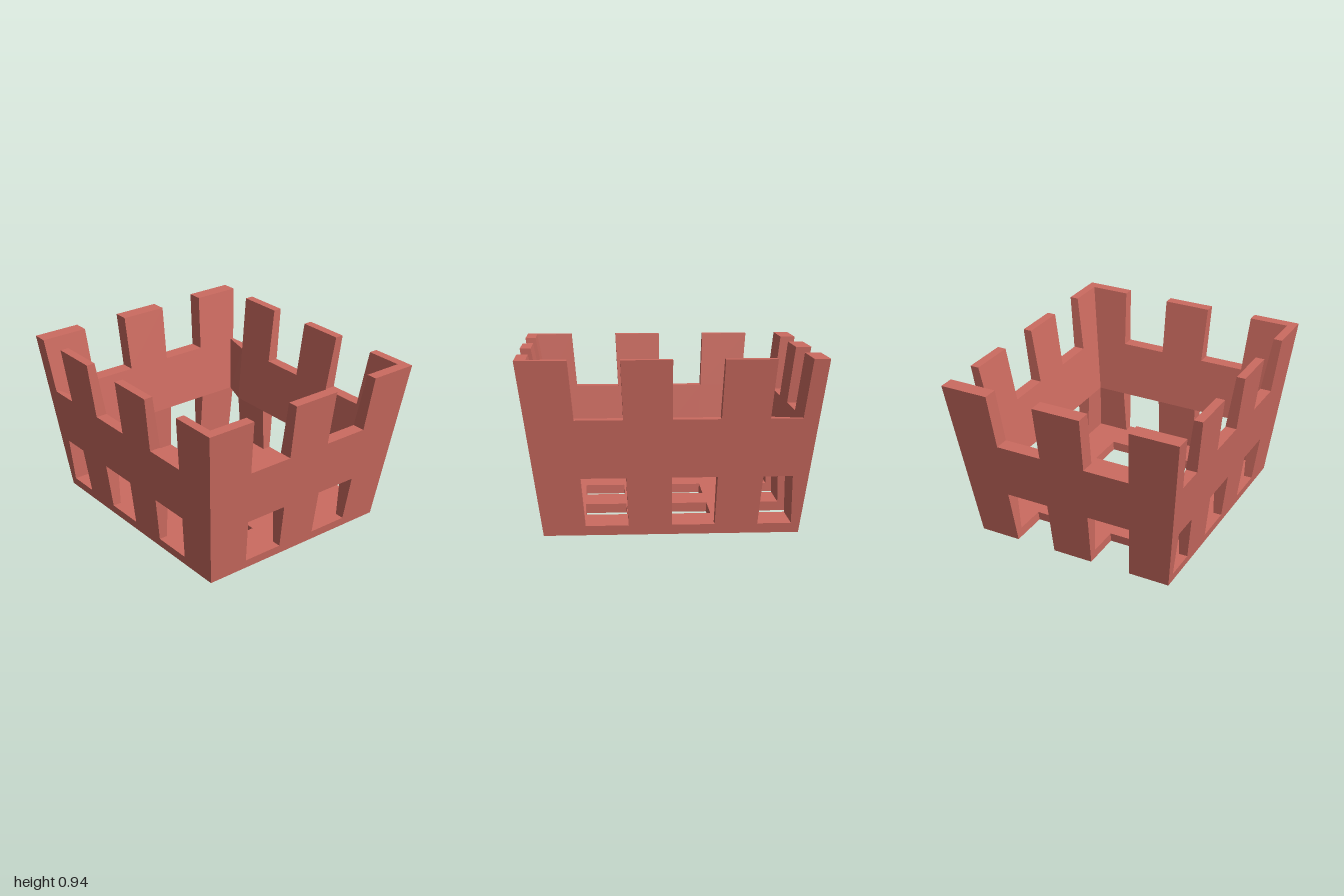
import * as THREE from 'three';

const ROWS = [0, 0.315, 0.63, 0.945];
const FLOOR_TOP = 0.052;
const lerp = THREE.MathUtils.lerp;

// Outer half width and half depth: the crate flares upwards
const halfW = y => lerp(0.678, 0.812, y / 0.945);
const halfD = y => lerp(0.583, 0.692, y / 0.945);
// Inner faces: upright along the bottom row, flaring above it
const flare = y => Math.max(0, (y - 0.315) / 0.63);
const innerRight = y => lerp(0.632, 0.752, flare(y));
const innerLeft = y => -lerp(0.638, 0.726, flare(y));
const innerD = y => lerp(0.54, 0.642, flare(y));

// Grid lines: six columns across the width, five across the depth
const colU = (i, y) => (-1 + i / 3) * halfW(y);
const colV = (k, y) => (-1 + k * 0.4) * halfD(y);

// A slab of grid cells with thickness; faces are made only where exposed.
// point(i, j, s) gives a corner, s = 0 inner or 1 outer.
function slab(name, cols, rows, point, solid, flip, closedEnds, material) {
  const pos = [];
  const quad = (...c) => {
    const p = c.map(a => point(...a));
    if (flip) p.reverse();
    for (const n of [0, 1, 2, 0, 2, 3]) pos.push(...p[n]);
  };
  const filled = (i, j) => {
    if (j < 0 || j >= rows) return false;
    if (i < 0 || i >= cols) return closedEnds;
    return solid(i, j);
  };
  for (let i = 0; i < cols; i++) for (let j = 0; j < rows; j++) {
    if (!solid(i, j)) continue;
    const a = i + 1, b = j + 1;
    quad([i, j, 1], [a, j, 1], [a, b, 1], [i, b, 1]);
    quad([i, b, 0], [a, b, 0], [a, j, 0], [i, j, 0]);
    if (!filled(i - 1, j)) quad([i, j, 0], [i, j, 1], [i, b, 1], [i, b, 0]);
    if (!filled(a, j)) quad([a, b, 0], [a, b, 1], [a, j, 1], [a, j, 0]);
    if (!filled(i, j - 1)) quad([i, j, 0], [a, j, 0], [a, j, 1], [i, j, 1]);
    if (!filled(i, b)) quad([i, b, 1], [a, b, 1], [a, b, 0], [i, b, 0]);
  }
  const geo = new THREE.BufferGeometry();
  geo.setAttribute('position', new THREE.Float32BufferAttribute(pos, 3));
  geo.computeVertexNormals();
  const mesh = new THREE.Mesh(geo, material);
  mesh.name = name;
  return mesh;
}

export function createModel() {
  const group = new THREE.Group();
  group.name = 'battlementedCrate';
  const material = new THREE.MeshStandardMaterial({ color: 0xcc6b60, flatShading: true });

  // Front and back walls, fitted between the side walls; thin where they meet the left-hand one
  for (const s of [1, -1]) {
    const point = (i, j, outer) => {
      const y = ROWS[j];
      const u = i === 0 ? innerLeft(y) : i === 6 ? innerRight(y) : colU(i, y);
      const v = outer ? halfD(y) : i === 0 ? halfD(y) - 0.02 : innerD(y);
      return [u, y, s * v];
    };
    const solid = (i, j) => j === 1 || i % 2 === 1;
    group.add(slab(s > 0 ? 'frontWall' : 'backWall', 6, 3, point, solid, s < 0, true, material));
  }

  // Side walls, running the full depth
  for (const s of [1, -1]) {
    const point = (k, j, outer) => {
      const y = ROWS[j];
      const u = outer ? s * halfW(y) : s > 0 ? innerRight(y) : innerLeft(y);
      return [u, y, colV(k, y)];
    };
    const solid = (k, j) => j === 1 || k % 2 === 0;
    group.add(slab(s > 0 ? 'leftWall' : 'rightWall', 5, 3, point, solid, s > 0, false, material));
  }

  // Floor with two rows of square holes, the last pair opening through one side
  const floorPoint = (i, k, top) => {
    const y = top ? FLOOR_TOP : 0;
    return [colU(i, y), y, colV(k, y)];
  };
  const floorSolid = (i, k) => i % 2 === 1 || k % 2 === 0;
  group.add(slab('floor', 6, 5, floorPoint, floorSolid, true, false, material));

  group.rotation.y = -Math.PI / 9;
  const root = new THREE.Group();
  root.name = 'model';
  root.add(group);
  return root;
}
